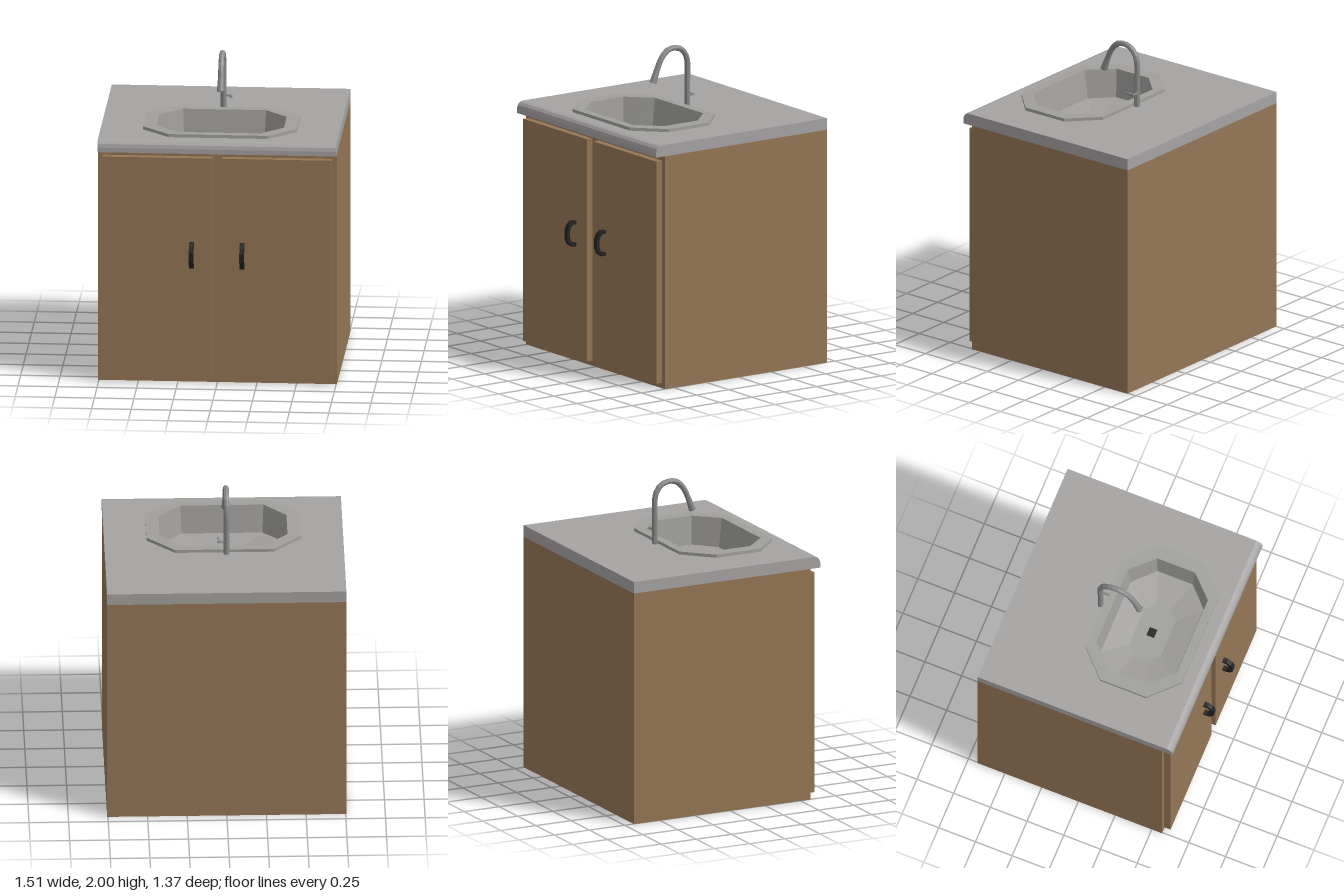
import * as THREE from 'three';

const mat = (name, color) => {
  const m = new THREE.MeshStandardMaterial({ color, flatShading: true });
  m.name = name;
  return m;
};

// Chamfered rectangle, counter-clockwise seen from above: [x, z] pairs
function octagon(hx, cx, z0, z1, c0, c1) {
  return [[hx, c1], [hx, c0], [cx, z0], [-cx, z0], [-hx, c0], [-hx, c1], [-cx, z1], [cx, z1]];
}

// Stacked rings joined by quads, last ring capped
function loft(rings) {
  const pos = [];
  const n = rings[0].length;
  for (let r = 0; r < rings.length - 1; r++) {
    for (let i = 0; i < n; i++) {
      const j = (i + 1) % n;
      const [a, b, c, d] = [rings[r][i], rings[r][j], rings[r + 1][j], rings[r + 1][i]];
      pos.push(...a, ...b, ...c, ...a, ...c, ...d);
    }
  }
  const last = rings[rings.length - 1];
  for (let i = 1; i < n - 1; i++) pos.push(...last[0], ...last[i], ...last[i + 1]);
  const g = new THREE.BufferGeometry();
  g.setAttribute('position', new THREE.Float32BufferAttribute(pos, 3));
  g.computeVertexNormals();
  return g;
}

// Profile of [z, y] points extruded along x, centred on x = 0
function extrudeX(points, width) {
  const s = new THREE.Shape(points.map(([z, y]) => new THREE.Vector2(-z, y)));
  const g = new THREE.ExtrudeGeometry(s, { depth: width, bevelEnabled: false });
  return g.translate(0, 0, -width / 2).rotateY(Math.PI / 2);
}

export function createModel() {
  const wood = mat('wood', 0x947655);
  const stone = mat('countertop', 0xa5a2a2);
  const basin = mat('basin', 0xa09f9c);
  basin.side = THREE.DoubleSide;
  const metal = mat('faucet metal', 0x8c8b8b);
  const black = mat('black', 0x222222);

  const model = new THREE.Group();
  model.name = 'sinkCabinet';
  const add = (name, geo, material, x = 0, y = 0, z = 0) => {
    const m = new THREE.Mesh(geo, material);
    m.name = name;
    m.position.set(x, y, z);
    model.add(m);
    return m;
  };

  // Cabinet body, top face left out to make room for the bowl
  const body = new THREE.BoxGeometry(1.51, 1.51, 1.255);
  const index = Array.from(body.index.array);
  index.splice(12, 6);
  body.setIndex(index);
  body.clearGroups();
  add('cabinet', body, wood, 0, 0.755, -0.0575);

  // Doors and handles
  const handle = [[0.61, 0.925], [0.645, 0.925], [0.672, 0.905], [0.686, 0.87], [0.686, 0.815],
    [0.672, 0.78], [0.645, 0.76], [0.61, 0.76], [0.61, 0.782], [0.638, 0.782], [0.655, 0.797],
    [0.664, 0.823], [0.664, 0.863], [0.655, 0.888], [0.638, 0.903], [0.61, 0.903]];
  for (const [side, s] of [['left', 1], ['right', -1]]) {
    add(side + 'Door', new THREE.BoxGeometry(0.692, 1.44, 0.045), wood, s * 0.378, 0.755, 0.5925);
    add(side + 'Handle', extrudeX(handle, 0.03), black, s * 0.16);
  }

  // Countertop slab with sink opening
  const slab = new THREE.Shape([[-0.755, -0.6], [0.755, -0.6], [0.755, 0.685], [-0.755, 0.685]]
    .map(p => new THREE.Vector2(...p)));
  slab.holes.push(new THREE.Path(octagon(0.44, 0.285, -0.1, 0.495, 0.055, 0.337)
    .map(([x, z]) => new THREE.Vector2(x, -z))));
  const slabGeo = new THREE.ExtrudeGeometry(slab, { depth: 0.075, bevelEnabled: false });
  add('countertop', slabGeo.rotateX(-Math.PI / 2), stone, 0, 1.51, 0);

  // Rounded front edge
  add('countertopEdge', extrudeX([[0.6, 1.51], [0.64, 1.51], [0.64, 1.54], [0.634, 1.563],
    [0.62, 1.579], [0.6, 1.585]], 1.51), stone);

  // Basin: raised rim, steep walls, shallow sloping floor
  const ring = (y, ...o) => octagon(...o).map(([x, z]) => [x, y, z]);
  const rim = [0.487, 0.312, -0.132, 0.525, 0.04, 0.352];
  add('basin', loft([
    ring(1.58, ...rim),
    ring(1.605, ...rim),
    ring(1.605, 0.403, 0.262, -0.077, 0.47, 0.067, 0.325),
    ring(1.42, 0.387, 0.255, -0.053, 0.443, 0.075, 0.317),
    ring(1.39, 0.19, 0.125, 0.09, 0.305, 0.15, 0.245),
  ]), basin);
  add('drain', new THREE.BoxGeometry(0.055, 0.012, 0.05), black, 0, 1.393, 0.195);

  // Faucet: gooseneck pipe, nozzle and lever
  const fx = -0.012;
  const path = [[-0.15, 1.58], [-0.15, 1.74], [-0.15, 1.88], [-0.135, 1.93], [-0.1, 1.967],
    [-0.04, 1.982], [0.01, 1.968], [0.055, 1.92], [0.08, 1.868], [0.095, 1.83]]
    .map(([z, y]) => new THREE.Vector3(fx, y, z));
  add('faucetPipe', new THREE.TubeGeometry(new THREE.CatmullRomCurve3(path), 20, 0.0185, 8), metal);
  const nozzle = new THREE.CylinderGeometry(0.019, 0.024, 0.08, 8);
  add('faucetNozzle', nozzle, metal, fx, 1.812, 0.102).rotation.x = -0.36;
  const lever = new THREE.CylinderGeometry(0.007, 0.007, 0.055, 6).rotateZ(Math.PI / 2);
  add('leverStem', lever, metal, 0.015, 1.676, -0.158);
  add('leverHandle', new THREE.BoxGeometry(0.012, 0.012, 0.055), metal, 0.039, 1.676, -0.138);

  return model;
}
